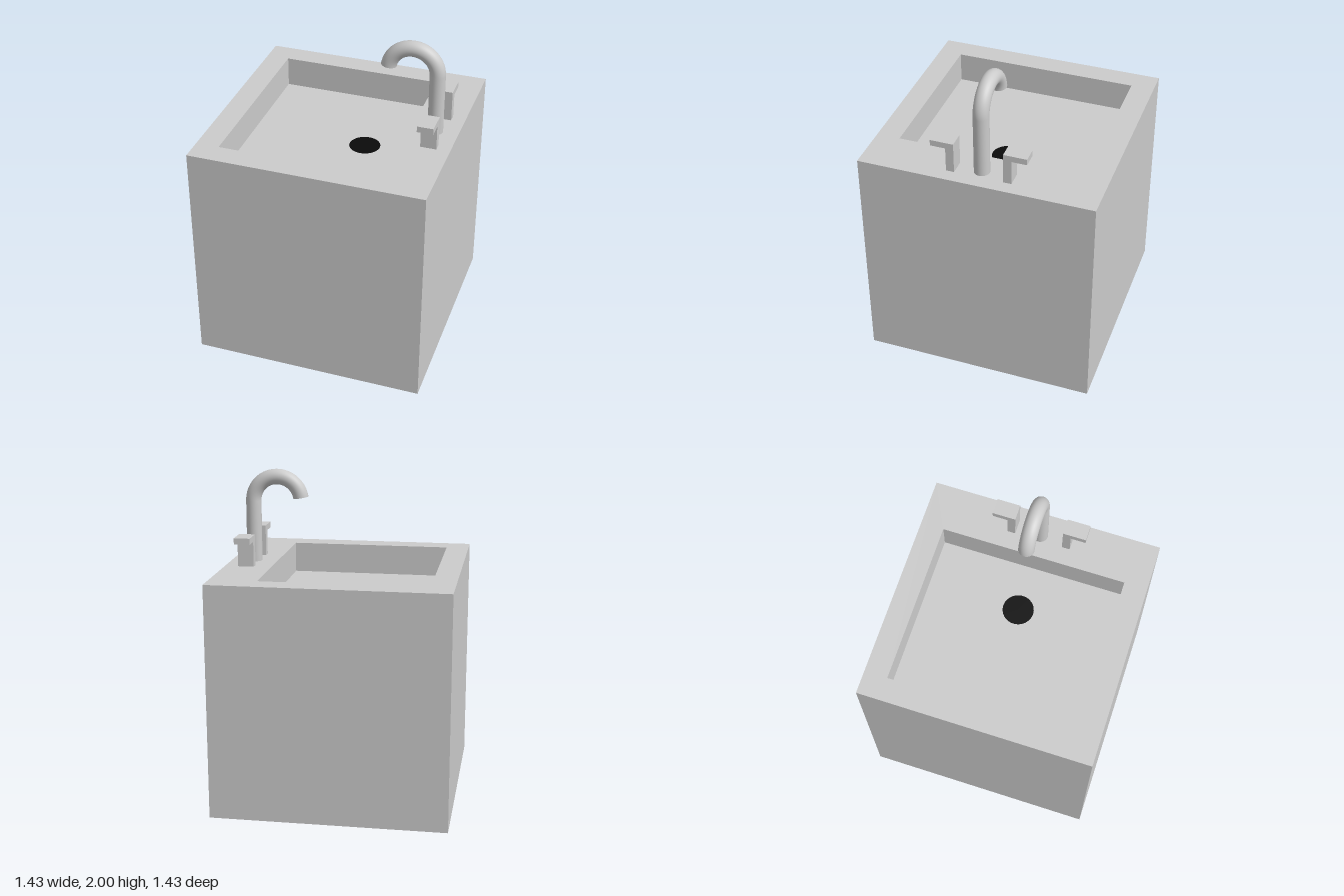
import * as THREE from 'three';

const grey = new THREE.MeshStandardMaterial({ color: 0xcccccc });
const black = new THREE.MeshStandardMaterial({ color: 0x0a0a0a });

const HALF = 0.714, TOP = 1.43, FLOOR = 1.24;

function add(parent, name, geometry, material = grey) {
  const mesh = new THREE.Mesh(geometry, material);
  mesh.name = name;
  parent.add(mesh);
  return mesh;
}

// Rectangular loop, counter-clockwise seen from above
const loop = (x0, x1, z0, z1, y) => [[x1, y, z1], [x1, y, z0], [x0, y, z0], [x0, y, z1]];

// Solid block whose skin runs up the sides, over the rim and down into the basin
function basinGeometry() {
  const loops = [
    loop(-HALF, HALF, -HALF, HALF, 0),
    loop(-HALF, HALF, -HALF, HALF, TOP),
    loop(-0.573, 0.428, -0.572, 0.572, TOP),
    loop(-0.573, 0.428, -0.572, 0.572, FLOOR),
  ];
  const pos = [];
  const quad = (a, b, c, d) => pos.push(...a, ...b, ...c, ...a, ...c, ...d);
  for (let k = 0; k < 3; k++) {
    const a = loops[k], b = loops[k + 1];
    for (let i = 0; i < 4; i++) {
      const j = (i + 1) % 4;
      quad(a[i], a[j], b[j], b[i]);
    }
  }
  quad(...loops[3]);
  quad(...loops[0].slice().reverse());
  const geo = new THREE.BufferGeometry();
  geo.setAttribute('position', new THREE.Float32BufferAttribute(pos, 3));
  geo.computeVertexNormals();
  return geo;
}

// L-shaped tap handle, profile in z and y, extruded across x
function handleGeometry() {
  const profile = [[0.148, TOP], [0.197, TOP], [0.197, 1.583], [0.289, 1.583], [0.289, 1.62], [0.148, 1.62]];
  const shape = new THREE.Shape(profile.map(([z, y]) => new THREE.Vector2(z, y)));
  const width = 0.097;
  return new THREE.ExtrudeGeometry(shape, { depth: width, bevelEnabled: false })
    .translate(0, 0, -width / 2)
    .rotateY(-Math.PI / 2);
}

export function createModel() {
  const model = new THREE.Group();
  model.name = 'sink';

  add(model, 'basinBlock', basinGeometry());

  // Drain
  const drain = add(model, 'drain', new THREE.CircleGeometry(0.095, 48).rotateX(-Math.PI / 2), black);
  drain.position.set(0.137, FLOOR + 0.004, 0);

  // Gooseneck faucet: straight post and bent spout
  const faucet = new THREE.Group();
  faucet.name = 'faucet';
  model.add(faucet);
  const r = 0.047, bend = 0.148, cx = 0.425, cy = 1.805, sweep = THREE.MathUtils.degToRad(171);
  const post = add(faucet, 'post', new THREE.CylinderGeometry(r, r, cy - TOP, 32, 1, true));
  post.position.set(cx + bend, (cy + TOP) / 2, 0);
  const spout = add(faucet, 'spout', new THREE.TorusGeometry(bend, r, 32, 40, sweep));
  spout.position.set(cx, cy, 0);
  const tip = add(faucet, 'spoutEnd', new THREE.CircleGeometry(r, 32).rotateX(-Math.PI / 2));
  tip.position.set(cx + bend * Math.cos(sweep), cy + bend * Math.sin(sweep), 0);
  tip.rotation.z = sweep;

  // Pair of handles facing away from the faucet
  for (const [name, turn] of [['frontHandle', 0], ['backHandle', Math.PI]]) {
    const handle = add(model, name, handleGeometry());
    handle.position.x = 0.584;
    handle.rotation.y = turn;
  }
  return model;
}
